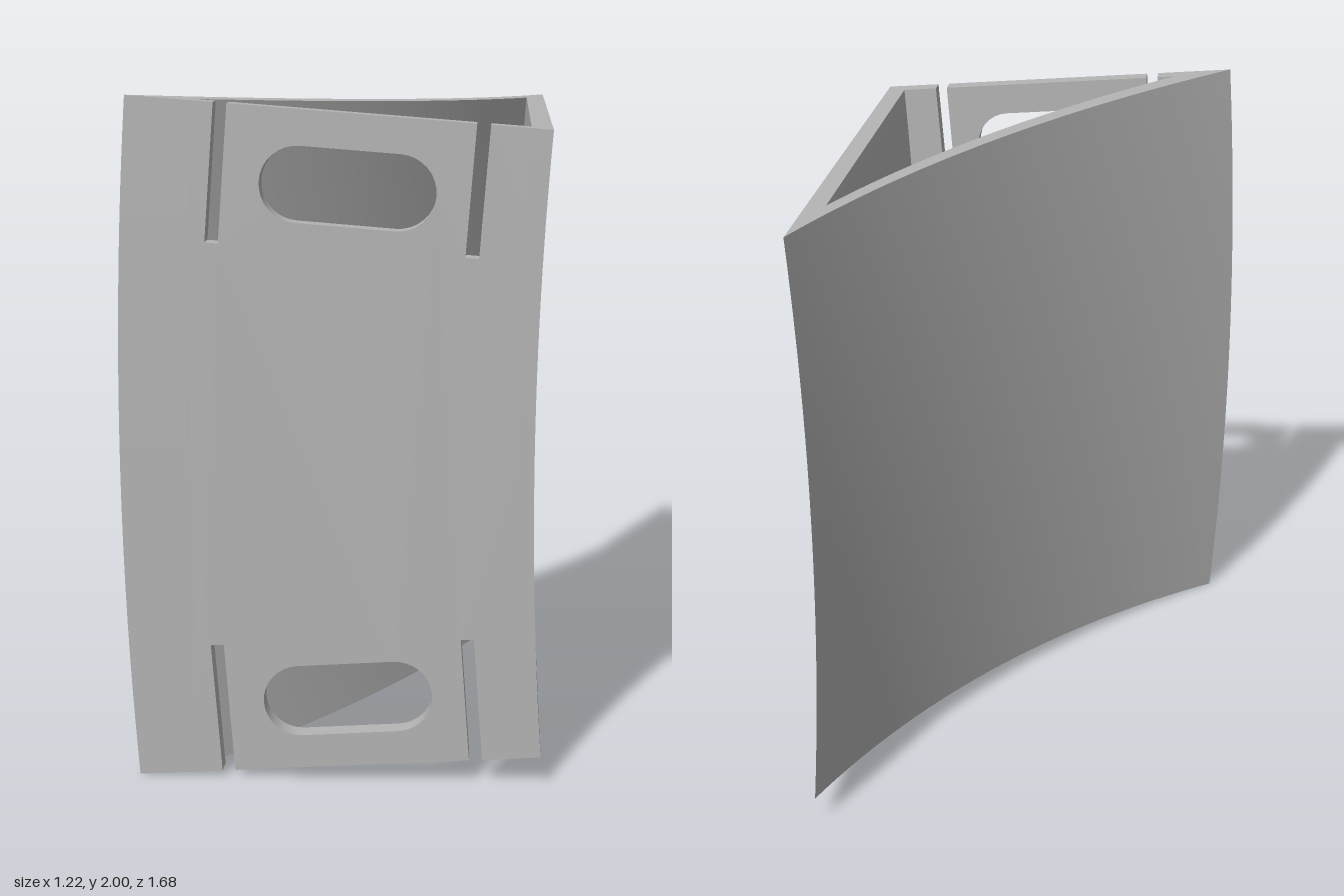
import * as THREE from 'three';
import { toCreasedNormals } from 'three/addons/utils/BufferGeometryUtils.js';

// The whole body is swept about a distant axis (x = C, y = 1) parallel to z.
const C = 12.6;
const A = 0.0757; // half of the sweep angle
const at = (r, t) => new THREE.Vector2(C - r * Math.cos(t), 1 + r * Math.sin(t));
// Point on the front face: radius r, moved a distance v in from the top edge
const fromEdge = (r, v) => at(r, A).add(new THREE.Vector2(-Math.sin(A) * v, -Math.cos(A) * v));
const flip = (p) => new THREE.Vector2(p.x, 2 - p.y);

// Circular arc between two points, bulging by sag towards +x +z
function arc(a, b, sag, n) {
  const chord = b.clone().sub(a), half = chord.length() / 2;
  const dir = chord.clone().normalize(), nor = new THREE.Vector2(-dir.y, dir.x);
  const R = (half * half + sag * sag) / (2 * sag), w = Math.asin(half / R);
  const mid = a.clone().add(b).multiplyScalar(0.5);
  return Array.from({ length: n + 1 }, (_, i) => {
    const t = -w + (2 * w * i) / n;
    return mid.clone().addScaledVector(dir, R * Math.sin(t))
      .addScaledVector(nor, R * Math.cos(t) - R + sag);
  });
}

// Concave back wall and flat side wall, as one section swept in an arc
function sweptWalls() {
  const V = (x, z) => new THREE.Vector2(x, z);
  const outer = arc(V(-0.61, 0.84), V(0.575, -0.84), 0.14, 32);
  const inner = arc(V(-0.42, 0.78), V(0.515, -0.56), 0.088, 28).reverse();
  const section = [...outer, V(0.575, 0.84), V(0.515, 0.84), ...inner, V(-0.42, 0.84)];
  const shape = new THREE.Shape(section.map((p) => V(p.x, -p.y)));
  const g = new THREE.ExtrudeGeometry(shape, { depth: 1, steps: 24, bevelEnabled: false });
  const pos = g.attributes.position;
  for (let i = 0; i < pos.count; i++) {
    const p = at(C - pos.getX(i), (pos.getZ(i) * 2 - 1) * A);
    pos.setXYZ(i, p.x, p.y, -pos.getY(i));
  }
  return toCreasedNormals(g, 0.4);
}

// Front plate with open slots at both ends and two oval holes
function frontPlate() {
  const n = 12, rL = C + 0.42, rR = C - 0.515, top = [];
  for (let i = 0; i <= n; i++) top.push(at(rL, (A * i) / n));
  for (const [r, depth] of [[12.944, 0.39], [12.215, 0.37]]) {
    for (const [s, v] of [[1, 0], [1, depth], [-1, depth], [-1, 0]]) top.push(fromEdge(r + s * 0.019, v));
  }
  for (let i = n; i >= 0; i--) top.push(at(rR, (A * i) / n));
  const bottom = top.slice(1, -1).map(flip).reverse();
  const shape = new THREE.Shape([...top, ...bottom]);

  const oval = [];
  for (const [side, start] of [[-1, Math.PI / 2], [1, -Math.PI / 2]]) {
    for (let i = 0; i <= 16; i++) {
      const t = start + (Math.PI * i) / 16;
      oval.push(fromEdge(12.575 - side * 0.14 - 0.107 * Math.cos(t), 0.207 - 0.107 * Math.sin(t)));
    }
  }
  shape.holes.push(new THREE.Path(oval), new THREE.Path(oval.map(flip).reverse()));
  const g = new THREE.ExtrudeGeometry(shape, { depth: 0.06, bevelEnabled: false });
  g.translate(0, 0, 0.78);
  return toCreasedNormals(g, 0.4);
}

export function createModel() {
  const group = new THREE.Group();
  group.name = 'curvedBracket';
  const grey = new THREE.MeshStandardMaterial({ color: 0xb4b4b4 });
  grey.name = 'grey';
  for (const [name, geometry] of [['backAndSideWalls', sweptWalls()], ['frontPlate', frontPlate()]]) {
    const mesh = new THREE.Mesh(geometry, grey);
    mesh.name = name;
    group.add(mesh);
  }
  return group;
}
